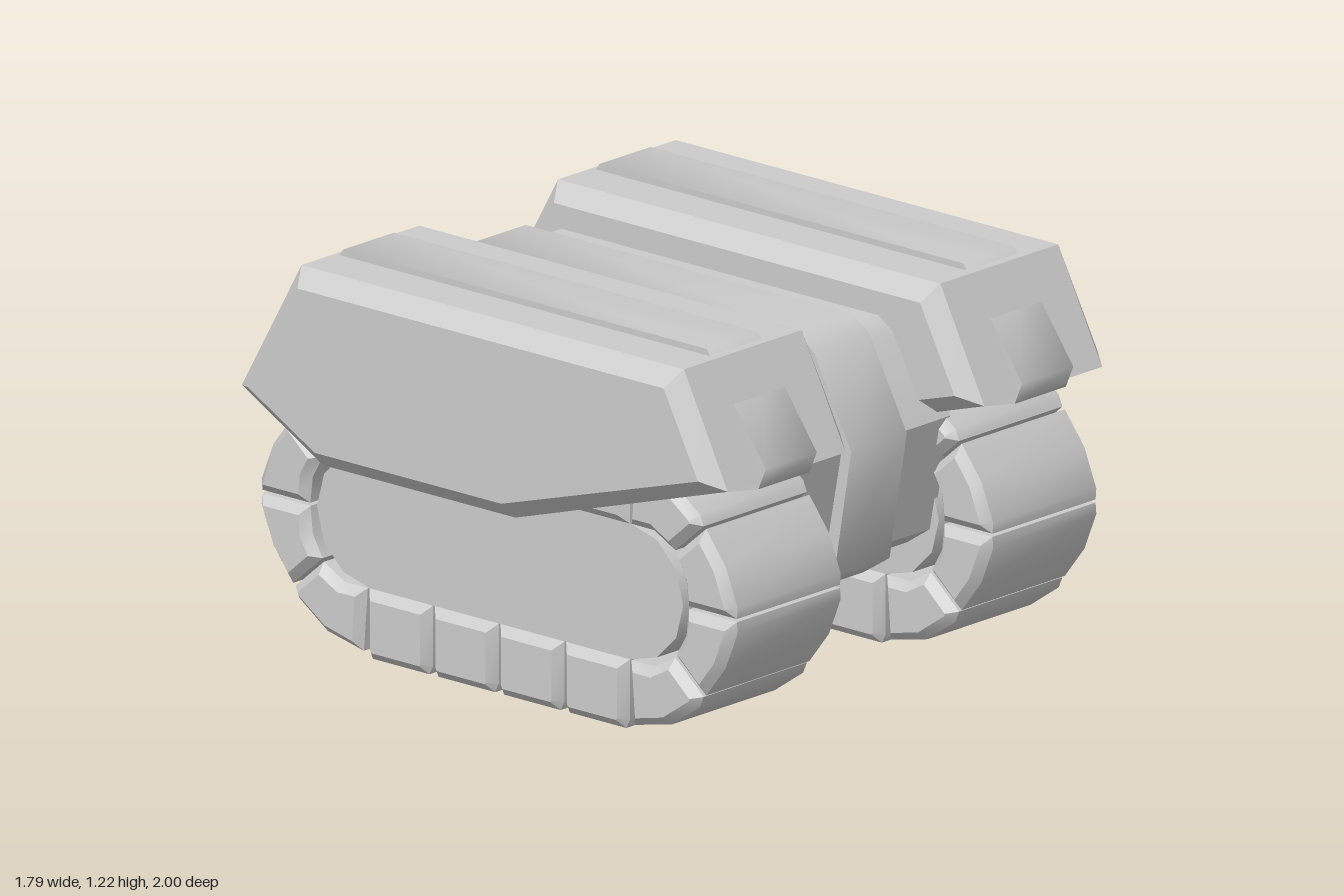
import * as THREE from 'three';
import { toCreasedNormals } from 'three/addons/utils/BufferGeometryUtils.js';

const grey = new THREE.MeshStandardMaterial({ color: 0xcccccc });

// Extrude a side profile of [z, y] points across x, centred on x = 0.
// The bevel grows outward from the profile and is included in the width.
function slab(name, profile, width, bevel = 0, crease = 0.6) {
  const shape = new THREE.Shape(profile.map(([z, y]) => new THREE.Vector2(z, y)));
  const depth = width - 2 * bevel;
  const geometry = new THREE.ExtrudeGeometry(shape, {
    depth, bevelEnabled: bevel > 0, bevelSize: bevel, bevelThickness: bevel, bevelSegments: 1,
  });
  geometry.translate(0, 0, -depth / 2).rotateY(-Math.PI / 2);
  const mesh = new THREE.Mesh(toCreasedNormals(geometry, crease), grey);
  mesh.name = name;
  return mesh;
}

// Pull a convex profile inward so that its bevel ends on the given outline.
function inset(profile, amount) {
  const n = profile.length;
  const area = profile.reduce((s, [x, y], i) => {
    const [a, b] = profile[(i + 1) % n];
    return s + x * b - a * y;
  }, 0);
  const sign = Math.sign(area);
  const normal = (a, b) => new THREE.Vector2(-(b[1] - a[1]), b[0] - a[0]).normalize().multiplyScalar(sign);
  return profile.map((p, i) => {
    const n1 = normal(profile[(i + n - 1) % n], p);
    const n2 = normal(p, profile[(i + 1) % n]);
    const k = amount / (1 + n1.dot(n2));
    return [p[0] + (n1.x + n2.x) * k, p[1] + (n1.y + n2.y) * k];
  });
}

const TRACK_Z = 0.022, TRACK_Y = 0.435;

function createTrack() {
  const track = new THREE.Group();
  track.name = 'track';

  // Flat hub plate filling the loop
  const hub = [];
  for (const [start, z] of [[-90, 0.53], [90, -0.53]]) {
    for (let i = 0; i <= 6; i++) {
      const a = THREE.MathUtils.degToRad(start + i * 30);
      hub.push([TRACK_Z + z + 0.215 * Math.cos(a), TRACK_Y + 0.215 * Math.sin(a)]);
    }
  }
  track.add(slab('trackHub', hub, 0.46));

  const addPad = (points) => track.add(slab('trackPad', inset(points, 0.028), 0.52, 0.028));

  // Straight runs, bottom and top
  for (const side of [-1, 1]) {
    for (let i = 0; i < 4; i++) {
      const z = TRACK_Z + (i - 1.5) * 0.267;
      const y0 = TRACK_Y + side * 0.435, y1 = TRACK_Y + side * 0.215;
      addPad([[z - 0.115, y0], [z + 0.115, y0], [z + 0.13, y0 - side * 0.03],
        [z + 0.13, y1], [z - 0.13, y1], [z - 0.13, y0 - side * 0.03]]);
    }
  }

  // Two wedge pads per quarter turn, mirrored to all four corners
  const wedges = [
    [[0.535, -0.215], [0.55, -0.42], [0.70, -0.385], [0.815, -0.305], [0.83, -0.27], [0.715, -0.17], [0.63, -0.215]],
    [[0.84, -0.265], [0.92, -0.16], [0.968, -0.04], [0.965, -0.005], [0.77, -0.005], [0.76, -0.09], [0.72, -0.16]],
  ];
  for (const sz of [-1, 1]) {
    for (const sy of [-1, 1]) {
      for (const wedge of wedges) addPad(wedge.map(([z, y]) => [TRACK_Z + sz * z, TRACK_Y + sy * y]));
    }
  }
  return track;
}

function createFender() {
  const fender = new THREE.Group();
  fender.name = 'fender';
  // Armoured cover with chamfered edges
  fender.add(slab('fenderCover',
    [[0.77, 1.145], [0.91, 0.88], [0.11, 0.64], [-0.65, 0.64], [-0.92, 0.79], [-0.72, 1.145]], 0.64, 0.055));
  // Raised band running around the middle
  fender.add(slab('fenderBand',
    [[0.76, 1.22], [1.0, 0.89], [0.97, 0.82], [0.11, 0.58], [-0.66, 0.58], [-0.97, 0.74], [-1.0, 0.81], [-0.72, 1.22]],
    0.23, 0, 1.1));
  return fender;
}

export function createModel() {
  const model = new THREE.Group();
  model.name = 'trackedVehicle';

  // Central hull between the tracks
  model.add(slab('hull',
    [[0.60, 1.07], [0.66, 1.03], [0.80, 0.77], [0.73, 0.40], [0.64, 0.34], [-0.58, 0.34],
      [-0.85, 0.76], [-0.83, 0.82], [-0.69, 1.07]], 0.72));
  const band = slab('hullBand',
    [[0.62, 1.11], [0.69, 1.06], [0.84, 0.78], [0.77, 0.37], [0.66, 0.30], [-0.60, 0.30],
      [-0.90, 0.75], [-0.88, 0.82], [-0.71, 1.11]], 0.25, 0, 1.1);
  band.position.x = -0.005;
  model.add(band);

  // Track and fender on both sides
  for (const [side, label] of [[1, 'left'], [-1, 'right']]) {
    const track = createTrack();
    track.name = `${label}Track`;
    track.position.x = side * 0.575;
    const fender = createFender();
    fender.name = `${label}Fender`;
    fender.position.x = side * 0.577;
    model.add(track, fender);
  }
  return model;
}
